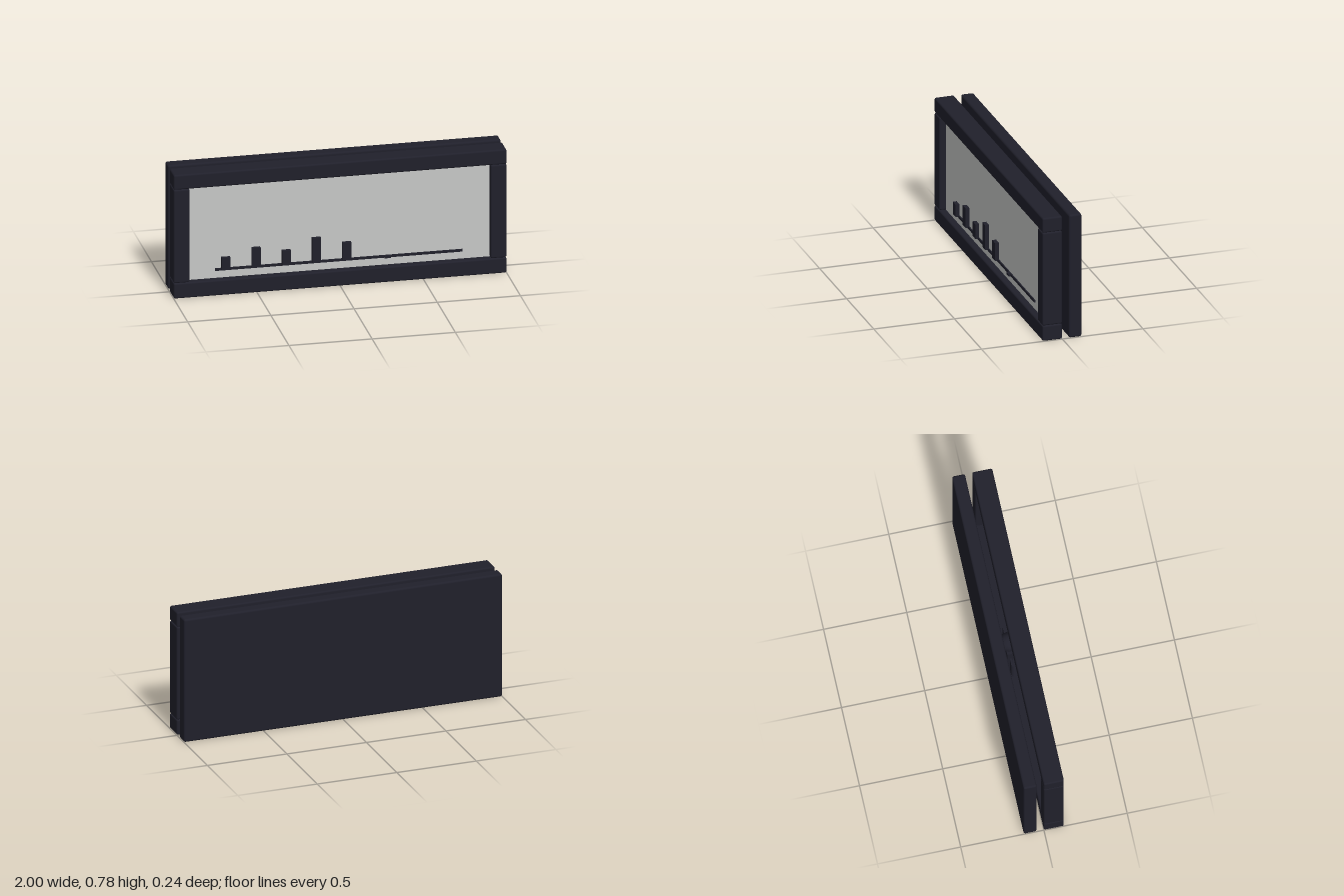
import * as THREE from 'three';
import { RoundedBoxGeometry } from 'three/addons/geometries/RoundedBoxGeometry.js';

export function createModel() {
  const model = new THREE.Group();
  const dark = new THREE.MeshStandardMaterial({ color: 0x20202b });
  dark.name = 'dark navy';
  const grey = new THREE.MeshStandardMaterial({ color: 0xc6c7c6 });
  grey.name = 'pale grey';

  const add = (name, geometry, material, x, y, z, parent = model) => {
    const mesh = new THREE.Mesh(geometry, material);
    mesh.name = name;
    mesh.position.set(x, y, z);
    parent.add(mesh);
    return mesh;
  };
  // Boxes given by their lower and upper bounds
  const box = (name, [x0, x1], [y0, y1], [z0, z1], material = dark, radius = 0, parent = model) => {
    const size = [x1 - x0, y1 - y0, z1 - z0];
    const geometry = radius ? new RoundedBoxGeometry(...size, 3, radius) : new THREE.BoxGeometry(...size);
    return add(name, geometry, material, (x0 + x1) / 2, (y0 + y1) / 2, (z0 + z1) / 2, parent);
  };

  // Rear panel and the front frame
  const depth = [0, 0.121];
  box('backPanel', [-1, 1], [0, 0.778], [-0.121, -0.043], dark, 0.012);
  box('bottomRail', [-1, 1], [0, 0.097], depth, dark, 0.01);
  box('topRail', [-1, 1], [0.685, 0.778], depth, dark, 0.01);
  box('rightStile', [-1, -0.905], [0.097, 0.685], depth, dark, 0.01);
  box('leftStile', [0.905, 1], [0.097, 0.685], depth, dark, 0.01);

  // Display pane set into the frame
  box('pane', [-0.91, 0.91], [0.09, 0.69], [0.072, 0.08], grey);

  // Bar chart on its baseline
  const chart = new THREE.Group();
  chart.name = 'barChart';
  model.add(chart);
  box('baseline', [-0.745, 0.742], [0.143, 0.158], [0.078, 0.088], dark, 0, chart);
  [0.227, 0.274, 0.242, 0.306, 0.263].forEach((top, i) => {
    const x = -0.682 + i * 0.1815;
    box('bar', [x - 0.026, x + 0.026], [0.15, top], [0.078, 0.104], dark, 0, chart);
  });
  box('baselineMark', [0.272, 0.31], [0.143, 0.156], [0.078, 0.1], dark, 0, chart);

  // Small figure between the frame and the panel
  const figure = new THREE.Group();
  figure.name = 'figure';
  model.add(figure);
  add('head', new THREE.SphereGeometry(0.058, 10, 8), dark, 0, 0.548, 0, figure);
  box('torso', [-0.06, 0.06], [0.313, 0.495], [-0.017, 0.017], dark, 0, figure);
  for (const s of [-1, 1]) {
    box('arm', [s * 0.105 - 0.025, s * 0.105 + 0.025], [0.3, 0.475], [-0.006, 0.006], dark, 0, figure);
    box('leg', [s * 0.035 - 0.02, s * 0.035 + 0.02], [0.136, 0.315], [-0.006, 0.006], dark, 0, figure);
  }

  return model;
}
